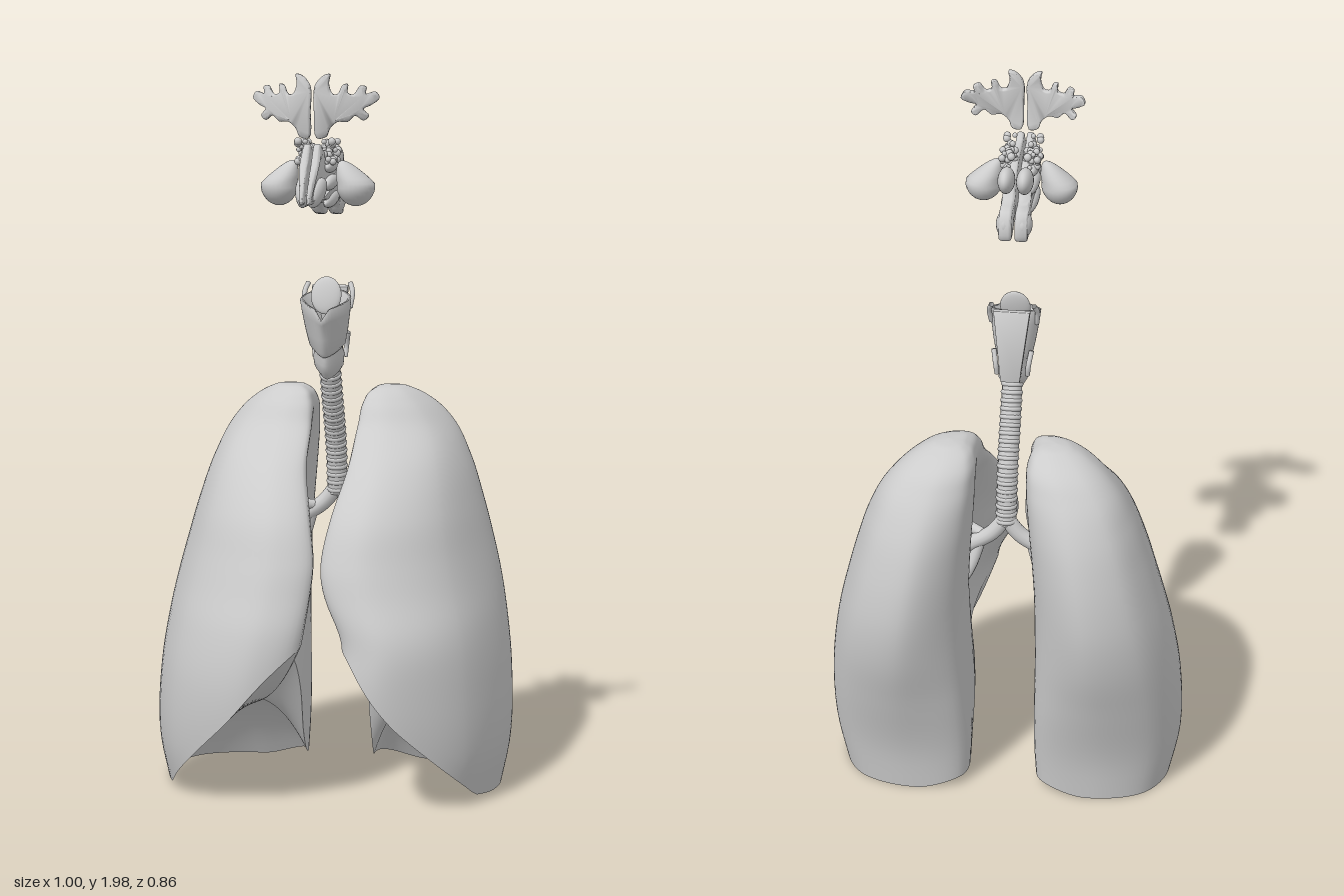
import * as THREE from 'three';
import { mergeVertices, toCreasedNormals } from 'three/addons/utils/BufferGeometryUtils.js';

const tissue = new THREE.MeshStandardMaterial({ color: 0xcccccc, side: THREE.DoubleSide });
tissue.name = 'pale grey tissue';

const V = (x, y, z) => new THREE.Vector3(x, y, z);
const smooth = THREE.MathUtils.smoothstep;

function add(parent, name, geo) {
  const mesh = new THREE.Mesh(geo, tissue);
  mesh.name = name;
  parent.add(mesh);
  return mesh;
}

// Mirrored copy across x = 0 with corner order kept outward
function mirrored(geo) {
  const g = mergeVertices(geo.clone()).scale(-1, 1, 1);
  const idx = g.index.array;
  for (let i = 0; i < idx.length; i += 3) [idx[i], idx[i + 1]] = [idx[i + 1], idx[i]];
  return g;
}
function addPair(parent, name, geo) {
  add(parent, 'left ' + name, geo);
  add(parent, 'right ' + name, mirrored(geo));
}

// Move every vertex by a rule
function reshape(geo, rule) {
  const p = geo.attributes.position, v = V(0, 0, 0);
  for (let i = 0; i < p.count; i++) {
    rule(v.fromBufferAttribute(p, i));
    p.setXYZ(i, v.x, v.y, v.z);
  }
  geo.computeVertexNormals();
  return geo;
}

// Surface of closed rings; point(row 0..1, column 0..1) returns a Vector3
function ringSurface(rows, cols, point, flip = false) {
  const pos = [], idx = [];
  for (let i = 0; i <= rows; i++)
    for (let j = 0; j < cols; j++) pos.push(...point(i / rows, j / cols).toArray());
  for (let i = 0; i < rows; i++)
    for (let j = 0; j < cols; j++) {
      const a = i * cols + j, c = i * cols + (j + 1) % cols, b = a + cols, d = c + cols;
      idx.push(...(flip ? [a, c, b, c, d, b] : [a, b, c, c, b, d]));
    }
  const g = new THREE.BufferGeometry();
  g.setAttribute('position', new THREE.Float32BufferAttribute(pos, 3));
  g.setIndex(idx);
  g.computeVertexNormals();
  return g;
}

const blob = (p, r, tilt = [0, 0, 0]) => new THREE.SphereGeometry(1, 24, 16)
  .scale(...r).rotateX(tilt[0]).rotateY(tilt[1]).rotateZ(tilt[2]).translate(...p);

const tube = (pts, r, seg = 24) => new THREE.TubeGeometry(
  new THREE.CatmullRomCurve3(pts.map((p) => V(...p))), seg, r, 12);

function slab(points, depth, bevel, curved = true) {
  const outline = curved
    ? new THREE.CatmullRomCurve3(points.map((p) => V(...p, 0)), true).getPoints(points.length * 4).slice(0, -1)
    : points.map((p) => V(...p, 0));
  return new THREE.ExtrudeGeometry(new THREE.Shape(outline.map((p) => new THREE.Vector2(p.x, p.y))), {
    depth, bevelEnabled: true, bevelThickness: bevel, bevelSize: bevel, bevelOffset: -bevel, bevelSegments: 3,
  });
}

// Lung levels: back z, front z, outer x, back inner x, front inner x, middle inner x
const levels = [0, 0.15, 0.35, 0.5, 0.6, 0.68, 0.8, 0.92, 1.02, 1.08, 1.11, 1.1175, 1.12];
const sections = [
  -0.265, 0.30, 0.47, 0.105, 0.11, 0.11,
  -0.29, 0.35, 0.498, 0.098, 0.08, 0.105,
  -0.355, 0.375, 0.495, 0.093, 0.06, 0.115,
  -0.405, 0.36, 0.475, 0.092, 0.03, 0.14,
  -0.425, 0.325, 0.455, 0.092, 0.015, 0.155,
  -0.43, 0.295, 0.435, 0.092, 0.01, 0.16,
  -0.42, 0.235, 0.402, 0.085, 0.03, 0.145,
  -0.39, 0.12, 0.362, 0.075, 0.06, 0.11,
  -0.34, -0.02, 0.31, 0.07, 0.07, 0.078,
  -0.29, -0.075, 0.25, 0.075, 0.08, 0.075,
  -0.235, -0.12, 0.197, 0.097, 0.10, 0.097,
  -0.21, -0.148, 0.172, 0.118, 0.12, 0.118,
  -0.18, -0.18, 0.145, 0.145, 0.145, 0.145,
];

function lungGeometries(notch, backScale) {
  const interp = new THREE.CubicInterpolant(levels, sections, 6, new Float32Array(6));
  const outline = (y, u) => {
    let [zb, zf, xo, xb, xf, xm] = interp.evaluate(y);
    xf += notch * Math.exp(-(((y - 0.48) / 0.1) ** 2));
    const d = zf - zb, w = xo - xb, wf = xo - xf;
    const round = smooth(y, 0.1, 0.65); // back inner corner is squarer low down
    const p = new THREE.CatmullRomCurve3([
      V(xo, 0, zb + 0.4 * d), V(xf + 0.8 * wf, 0, zf - 0.22 * d), V(xf + 0.52 * wf, 0, zf - 0.055 * d),
      V(xf + 0.24 * wf, 0, zf), V(xf, 0, zf - 0.07 * d), V(xm, 0, zb + 0.58 * d),
      V(xb, 0, zb + 0.32 * d), V(xb + (0.02 + 0.08 * round) * w, 0, zb + (0.06 + 0.06 * round) * d),
      V(xb + 0.43 * w, 0, zb), V(xo - 0.2 * w, 0, zb + 0.07 * d), V(xo - 0.04 * w, 0, zb + 0.21 * d),
    ], true).getPoint(u);
    if (p.z < 0) p.z *= backScale;
    return p.setY(y);
  };
  // Lower rim climbs steeply along the inner side towards the front
  const rimHeight = (u) => {
    const { x, z } = outline(0.25, u);
    return 0.012 + 0.035 * (1 - smooth(x, 0.08, 0.25)) + 0.025 * smooth(z, 0, 0.25)
      + smooth(z, -0.2, 0.06) * Math.max(0, 0.4 - 1.05 * (x - 0.06));
  };
  const wall = ringSurface(56, 88, (s, u) => {
    const r = rimHeight(u);
    return outline(r + (1.12 - r) * (1 - (1 - s) ** 2), u);
  });
  // Hollow underside, rising steeply from the low parts of the rim
  const middle = V(0.25, 0.25, 0.04);
  const base = ringSurface(18, 88, (s, u) => {
    const r = rimHeight(u);
    return outline(r, u).lerp(middle, s).setY(r + (middle.y - r) * (1 - (1 - s) ** 2.2));
  }, true);
  return { wall, base };
}

function buildLungs() {
  const g = new THREE.Group();
  g.name = 'lungs';
  const left = lungGeometries(0.045, 1), right = lungGeometries(0, 0.96);
  add(g, 'left lung', left.wall);
  add(g, 'left lung base', left.base);
  add(g, 'right lung', mirrored(right.wall));
  add(g, 'right lung base', mirrored(right.base));
  return g;
}

function buildAirway() {
  const g = new THREE.Group();
  g.name = 'airway';
  // Windpipe with cartilage rings
  const path = [[0, 1.22, 0.035], [0, 1.1, -0.02], [0, 0.97, -0.082], [0, 0.82, -0.112]];
  add(g, 'windpipe', tube(path, 0.028, 40));
  const curve = new THREE.CatmullRomCurve3(path.map((p) => V(...p)));
  for (let i = 0; i < 19; i++) {
    const t = (i + 0.5) / 19;
    const ring = add(g, 'windpipe ring', new THREE.TorusGeometry(0.0235, 0.0075, 8, 28));
    ring.position.copy(curve.getPointAt(t));
    ring.quaternion.setFromUnitVectors(V(0, 0, 1), curve.getTangentAt(t));
  }
  // Bronchi and their first branches
  addPair(g, 'bronchus', tube([[0, 0.84, -0.112], [0.04, 0.79, -0.113], [0.1, 0.75, -0.11], [0.18, 0.7, -0.11]], 0.022));
  addPair(g, 'upper branch', tube([[0.06, 0.78, -0.11], [0.1, 0.79, -0.09], [0.18, 0.83, -0.07]], 0.015));
  addPair(g, 'front branch', tube([[0.08, 0.765, -0.11], [0.11, 0.73, -0.06], [0.18, 0.7, -0.01]], 0.013));
  addPair(g, 'lower branch', tube([[0.07, 0.77, -0.11], [0.1, 0.68, -0.125], [0.16, 0.58, -0.14]], 0.016));

  // Voice box: stacked tapered sections, each y, half width, back z, front z
  const loft = (rows) => ringSurface(rows.length - 1, 40, (s, u) => {
    const [y, w, zb, zf] = rows[Math.round(s * (rows.length - 1))];
    const a = u * Math.PI * 2, c = Math.cos(a);
    const v = 0.03 * Math.max(0, 1 - Math.abs(a > Math.PI ? a - 2 * Math.PI : a) / 0.5) * smooth(y, 1.33, 1.385);
    return V(w * Math.sin(a) * (1 - 0.4 * Math.max(0, c)), y - 0.022 * c - v, (zb + zf) / 2 + c * (zf - zb) / 2);
  }, true);
  add(g, 'ring cartilage', loft([[1.185, 0.03, -0.005, 0.07], [1.2, 0.04, -0.015, 0.094],
    [1.225, 0.043, -0.015, 0.105], [1.24, 0.038, -0.01, 0.105], [1.275, 0.038, -0.005, 0.115]]));
  add(g, 'shield cartilage', loft([[1.25, 0.038, 0, 0.12], [1.262, 0.05, 0, 0.135], [1.3, 0.058, 0.005, 0.148],
    [1.35, 0.066, 0.012, 0.166], [1.385, 0.07, 0.018, 0.178], [1.385, 0.06, 0.035, 0.16], [1.33, 0.045, 0.035, 0.13]]));
  add(g, 'epiglottis', blob([0, 1.395, 0.085], [0.042, 0.052, 0.012], [-0.25, 0, 0]));
  addPair(g, 'upper horn', tube([[0.062, 1.36, 0.06], [0.066, 1.4, 0.045], [0.058, 1.425, 0.03]], 0.007));
  addPair(g, 'lower horn', tube([[0.052, 1.29, 0.03], [0.045, 1.25, 0.015], [0.042, 1.22, 0.02]], 0.007));
  const back = slab([[-0.05, 0.2], [0.05, 0.2], [0.026, 0], [-0.026, 0]], 0.018, 0.005, false);
  add(g, 'throat back wall', toCreasedNormals(back, 0.9).rotateX(0.18).translate(0, 1.22, -0.03));
  return g;
}

function buildSinuses() {
  const g = new THREE.Group();
  g.name = 'sinuses';
  // Branching brow sinus, curved back at the sides
  const brow = slab([[0.01, 1.83], [0.005, 1.9], [0.006, 1.965], [0.028, 1.992], [0.045, 1.996], [0.042, 1.972],
    [0.052, 1.945], [0.066, 1.945], [0.078, 1.968], [0.09, 1.97], [0.09, 1.948], [0.105, 1.943], [0.122, 1.966],
    [0.136, 1.962], [0.135, 1.945], [0.158, 1.95], [0.168, 1.933], [0.148, 1.915], [0.13, 1.905], [0.143, 1.888],
    [0.13, 1.875], [0.11, 1.888], [0.09, 1.872], [0.065, 1.872], [0.045, 1.855], [0.035, 1.833]], 0.01, 0.006);
  reshape(brow, (v) => {
    v.z += 0.3 - 2.1 * v.x * v.x - 0.25 * Math.max(0, 1.9 - v.y) + 0.1 * (1.9 - v.y);
  });
  addPair(g, 'brow sinus', toCreasedNormals(brow, 0.9));

  // Nasal passage halves, narrowing to the tip and the bridge
  const nose = slab([[0.425, 1.665], [0.4, 1.715], [0.345, 1.775], [0.305, 1.815], [0.27, 1.8], [0.2, 1.79],
    [0.14, 1.75], [0.1, 1.705], [0.045, 1.692], [0.025, 1.655], [0.03, 1.615], [0.075, 1.622], [0.12, 1.65],
    [0.22, 1.655], [0.31, 1.67], [0.385, 1.665]], 0.016, 0.008);
  const passage = mirrored(nose.rotateY(-Math.PI / 2)).translate(0.009, 0, 0);
  reshape(passage, (v) => {
    v.x = 0.003 + v.x * (1.1 - 0.75 * smooth(v.z, 0.31, 0.43)) * (1 - 0.45 * smooth(v.y, 1.7, 1.82));
  });
  addPair(g, 'nasal passage', toCreasedNormals(passage, 0.9));
  for (const [y, z, r] of [[1.665, 0.2, 0.1], [1.71, 0.21, 0.085], [1.755, 0.21, 0.06]])
    addPair(g, 'nasal shell', blob([0.034, y, z], [0.016, 0.019, r], [0.08, 0, 0]));
  addPair(g, 'nostril', blob([0.02, 1.69, 0.345], [0.018, 0.028, 0.06], [0.5, -0.2, 0]));
  addPair(g, 'throat opening', blob([0.025, 1.652, 0.062], [0.024, 0.036, 0.038]));

  // Cheek sinuses, pear shaped, narrowing up towards the nose
  const cheek = reshape(blob([0, 0, 0], [0.052, 0.06, 0.054]), (v) => {
    const k = 1 - 0.35 * smooth(v.y, -0.02, 0.06);
    v.set(v.x * k - 0.6 * Math.max(0, v.y), v.y, v.z * k * (1 + 3 * Math.min(0, v.x + 0.02)) - 0.1 * v.x);
  });
  addPair(g, 'cheek sinus', cheek.translate(0.103, 1.708, 0.222));
  addPair(g, 'rear sinus', blob([0.025, 1.765, 0.09], [0.023, 0.036, 0.055], [0.3, 0, 0]));

  // Cluster of small air cells
  let seed = 7;
  const rnd = () => (seed = (seed * 16807) % 2147483647) / 2147483647;
  for (let i = 0; i < 48; i++) {
    const r = 0.006 + 0.005 * rnd();
    addPair(g, 'air cell', new THREE.SphereGeometry(r, 10, 8)
      .translate(0.014 + 0.036 * rnd(), 1.765 + 0.055 * rnd(), 0.15 + 0.12 * rnd()));
  }
  return g;
}

export function createModel() {
  const model = new THREE.Group();
  model.name = 'breathing system';
  model.add(buildLungs(), buildAirway(), buildSinuses());
  return model;
}
